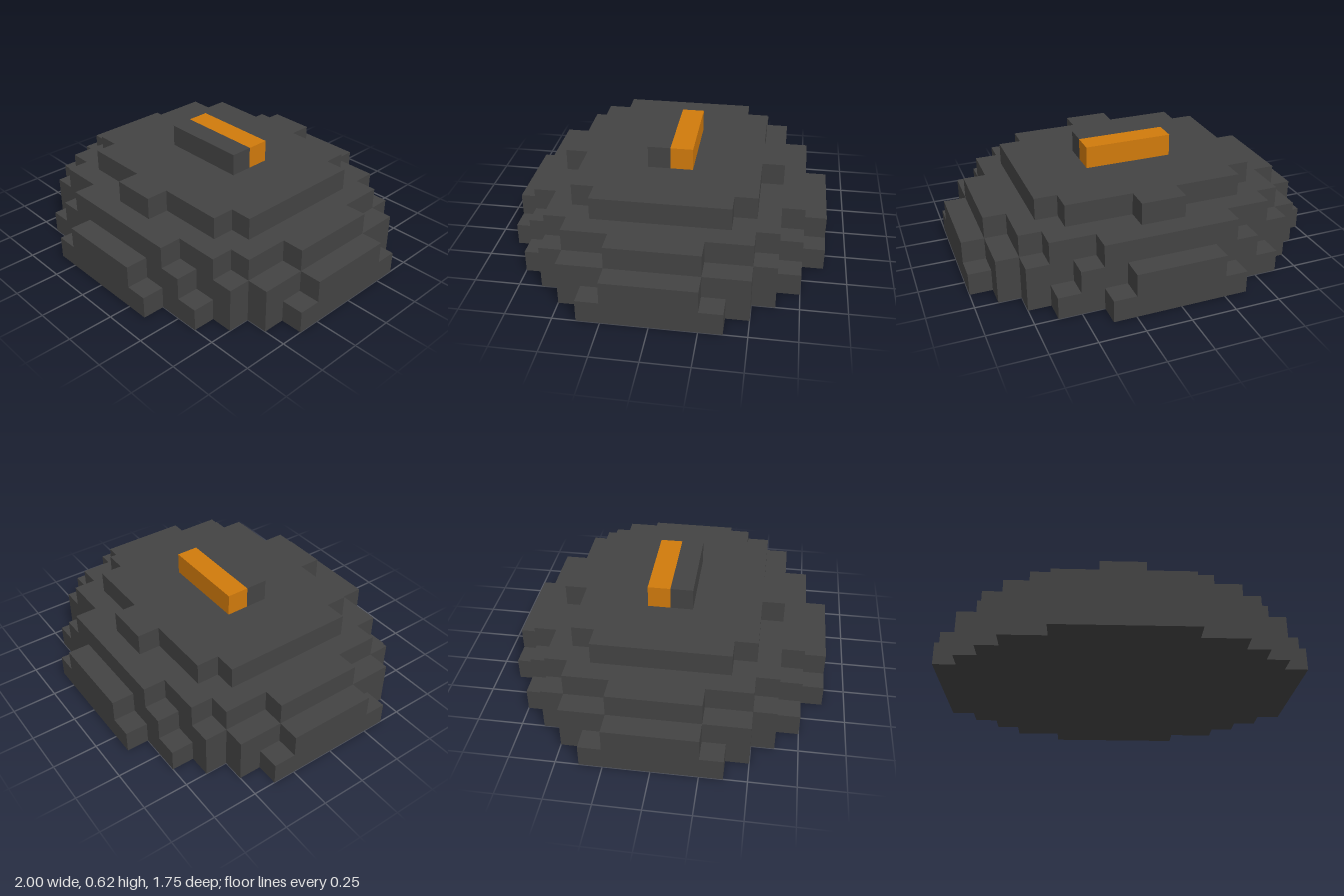
import * as THREE from 'three';

const U = 0.125; // one block

// Each tier: [half depth, half width] steps in blocks, from the narrow ends inward
const TIERS = [
  ['baseTier', [[7, 3], [6, 5], [5, 6], [4, 7], [3, 8]]],
  ['lowerTier', [[7, 2], [6, 4], [5, 6], [4, 7], [2, 8]]],
  ['middleTier', [[6, 3], [5, 5], [4, 6], [2, 7]]],
  ['upperTier', [[5, 1], [4, 4], [3, 5]]],
];

// Stepped, four-way symmetric slab, one block high
function tierGeometry(steps) {
  const quarter = [];
  steps.forEach(([d, w], i) => {
    if (i > 0) quarter.push([steps[i - 1][1], d]); // inner corner
    quarter.push([w, d]);
  });
  const mirror = (sx, sz) => quarter.map(([x, z]) => [x * sx, z * sz]);
  const outline = [
    ...mirror(1, 1),
    ...mirror(1, -1).reverse(),
    ...mirror(-1, -1),
    ...mirror(-1, 1).reverse(),
  ];
  const shape = new THREE.Shape(outline.map(([x, z]) => new THREE.Vector2(x * U, z * U)));
  const geometry = new THREE.ExtrudeGeometry(shape, { depth: U, bevelEnabled: false });
  return geometry.rotateX(-Math.PI / 2);
}

export function createModel() {
  const model = new THREE.Group();
  model.name = 'steppedDome';
  const charcoal = new THREE.MeshStandardMaterial({ color: 0x434343, flatShading: true });
  charcoal.name = 'charcoal';
  const orange = new THREE.MeshStandardMaterial({ color: 0xd07a0c, flatShading: true });
  orange.name = 'orange';

  // Stacked body tiers
  TIERS.forEach(([name, steps], level) => {
    const tier = new THREE.Mesh(tierGeometry(steps), charcoal);
    tier.name = name;
    tier.position.y = level * U;
    model.add(tier);
  });

  // Top bar: dark front half, orange back half
  for (const [name, material, z] of [['topBarFront', charcoal, 0.5], ['topBarBack', orange, -0.5]]) {
    const bar = new THREE.Mesh(new THREE.BoxGeometry(4 * U, U, U), material);
    bar.name = name;
    bar.position.set(0, 4.5 * U, z * U);
    model.add(bar);
  }
  return model;
}
